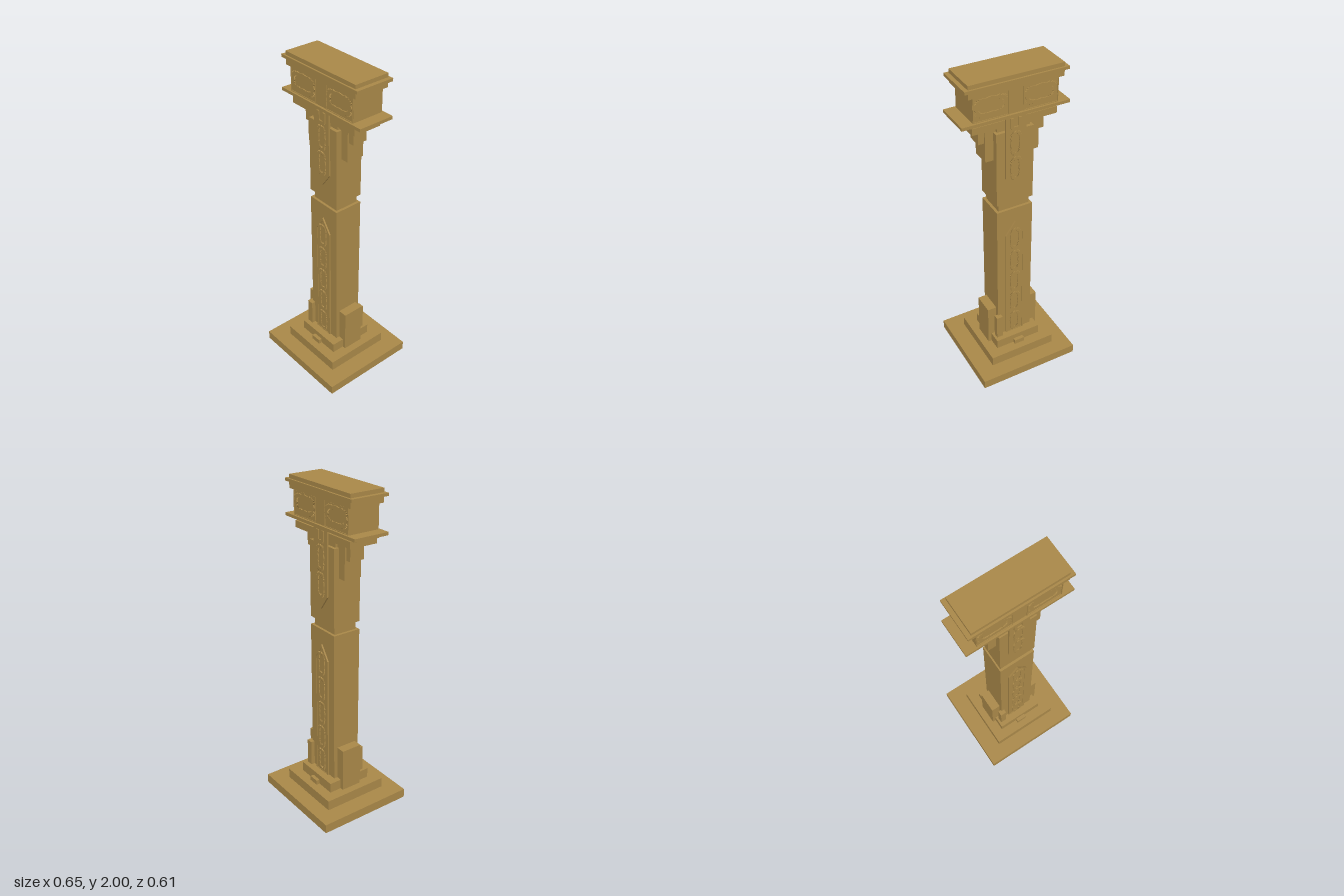
import * as THREE from 'three';

const material = new THREE.MeshStandardMaterial({ color: 0xa88748, flatShading: true });

function add(parent, name, geometry, x = 0, y = 0, z = 0) {
  const mesh = new THREE.Mesh(geometry, material);
  mesh.name = name;
  mesh.position.set(x, y, z);
  parent.add(mesh);
  return mesh;
}

// Box given by its half width, half depth and bottom/top heights
function block(parent, name, hx, hz, y0, y1, x = 0, z = 0) {
  return add(parent, name, new THREE.BoxGeometry(hx * 2, y1 - y0, hz * 2), x, (y0 + y1) / 2, z);
}

const outline = (pts) => pts.map(([x, y]) => new THREE.Vector2(x, y));

function extrude(pts, depth, hole) {
  const shape = new THREE.Shape(outline(pts));
  if (hole) shape.holes.push(new THREE.Path(outline(hole)));
  return new THREE.ExtrudeGeometry(shape, { depth, bevelEnabled: false });
}

// Panel outline with one pointed end
const pointed = (hx, base, shoulder, tip) => [[-hx, base], [hx, base], [hx, shoulder], [0, tip], [-hx, shoulder]];

// Scalloped ring: half length a along y, half width b along x
function scrollRing(a, b, band, depth) {
  const ring = (inset, wave) => {
    const pts = [];
    for (let i = 0; i < 48; i++) {
      const t = (i / 48) * Math.PI * 2;
      const c = Math.cos(t), s = Math.sin(t);
      const k = 1 + wave * (i % 2 ? -1 : 1);
      // rounded-rectangle curve
      const px = Math.sign(c) * Math.sqrt(Math.abs(c)) * (b - inset) * k;
      const py = Math.sign(s) * Math.sqrt(Math.abs(s)) * (a - inset) * k;
      pts.push([px, py]);
    }
    return pts;
  };
  return extrude(ring(0.004, 0.05), depth, ring(band, -0.06));
}

// Pointed panel with raised border and a column of scroll ornaments
function shaftPanel(face, name, base, shoulder, tip, centers) {
  const inward = Math.sign(tip - base);
  add(face, name + 'Border', extrude(
    pointed(0.062, base, shoulder, tip), 0.012,
    pointed(0.05, base + inward * 0.004, shoulder, tip - inward * 0.02)), 0, 0, 0.088);
  add(face, name + 'Field', extrude(pointed(0.055, base, shoulder, tip - inward * 0.01), 0.009), 0, 0, 0.088);
  const ornament = scrollRing(0.076, 0.037, 0.018, 0.009);
  centers.forEach((y) => add(face, name + 'Ornament', ornament, 0, y, 0.095));
}

export function createModel() {
  const model = new THREE.Group();
  model.name = 'pillar';

  // Stepped base
  block(model, 'plinth', 0.325, 0.305, 0, 0.058);
  block(model, 'middleStep', 0.217, 0.208, 0.058, 0.122);
  block(model, 'upperStep', 0.15, 0.144, 0.122, 0.185);

  // Shaft
  block(model, 'lowerShaft', 0.115, 0.09, 0.185, 1.15);
  block(model, 'neck', 0.098, 0.074, 1.15, 1.2);
  block(model, 'upperShaft', 0.115, 0.09, 1.2, 1.665);
  block(model, 'shaftTop', 0.1, 0.07, 1.665, 1.7);

  // Buttresses and stepped brackets on both sides
  for (const s of [-1, 1]) {
    block(model, 'sideButtress', 0.035, 0.066, 0.122, 0.4, s * 0.137);
    block(model, 'lowerBracket', 0.035, 0.056, 1.49, 1.7, s * 0.13);
    block(model, 'upperBracket', 0.05, 0.046, 1.605, 1.7, s * 0.15);
  }

  // Ledges under the head
  block(model, 'lowerLedge', 0.255, 0.09, 1.7, 1.74);
  block(model, 'middleLedge', 0.288, 0.075, 1.74, 1.757);
  block(model, 'wideLedge', 0.322, 0.112, 1.757, 1.775);

  // Head and cornice
  block(model, 'head', 0.253, 0.098, 1.775, 1.925);
  block(model, 'corniceBase', 0.28, 0.11, 1.922, 1.96);
  block(model, 'corniceRim', 0.304, 0.121, 1.96, 1.977);
  block(model, 'corniceTop', 0.28, 0.11, 1.977, 2);

  // Decorated front, repeated at the back by half a turn
  for (const turn of [0, Math.PI]) {
    const face = new THREE.Group();
    face.name = turn ? 'backDecoration' : 'frontDecoration';
    face.rotation.y = turn;
    model.add(face);

    block(face, 'baseTab', 0.033, 0.015, 0.122, 0.152, 0, 0.151);
    block(face, 'cornerUpright', 0.02, 0.017, 0.122, 0.35, -0.115, 0.098);
    shaftPanel(face, 'lowerPanel', 0.185, 0.97, 1.06, [0.27, 0.437, 0.604, 0.771, 0.938]);
    shaftPanel(face, 'upperPanel', 1.757, 1.37, 1.285, [1.43, 1.59]);
    // Short end of the third ornament, cut off by the ledge
    for (const s of [-1, 1]) block(face, 'upperPanelOrnamentEnd', 0.009, 0.0045, 1.685, 1.745, s * 0.024, 0.099);
    block(face, 'upperPanelOrnamentEnd', 0.028, 0.0045, 1.677, 1.692, 0, 0.099);

    // Two head panels with lengthwise ornaments
    for (const s of [-1, 1]) {
      const rect = (hx, hy) => [[-hx, -hy], [hx, -hy], [hx, hy], [-hx, hy]];
      add(face, 'headPanelBorder', extrude(rect(0.105, 0.071), 0.005, rect(0.101, 0.067)), s * 0.147, 1.847, 0.097);
      const ornament = add(face, 'headOrnament', scrollRing(0.098, 0.058, 0.026, 0.007), s * 0.147, 1.853, 0.097);
      ornament.rotation.z = Math.PI / 2;
    }
  }
  return model;
}
